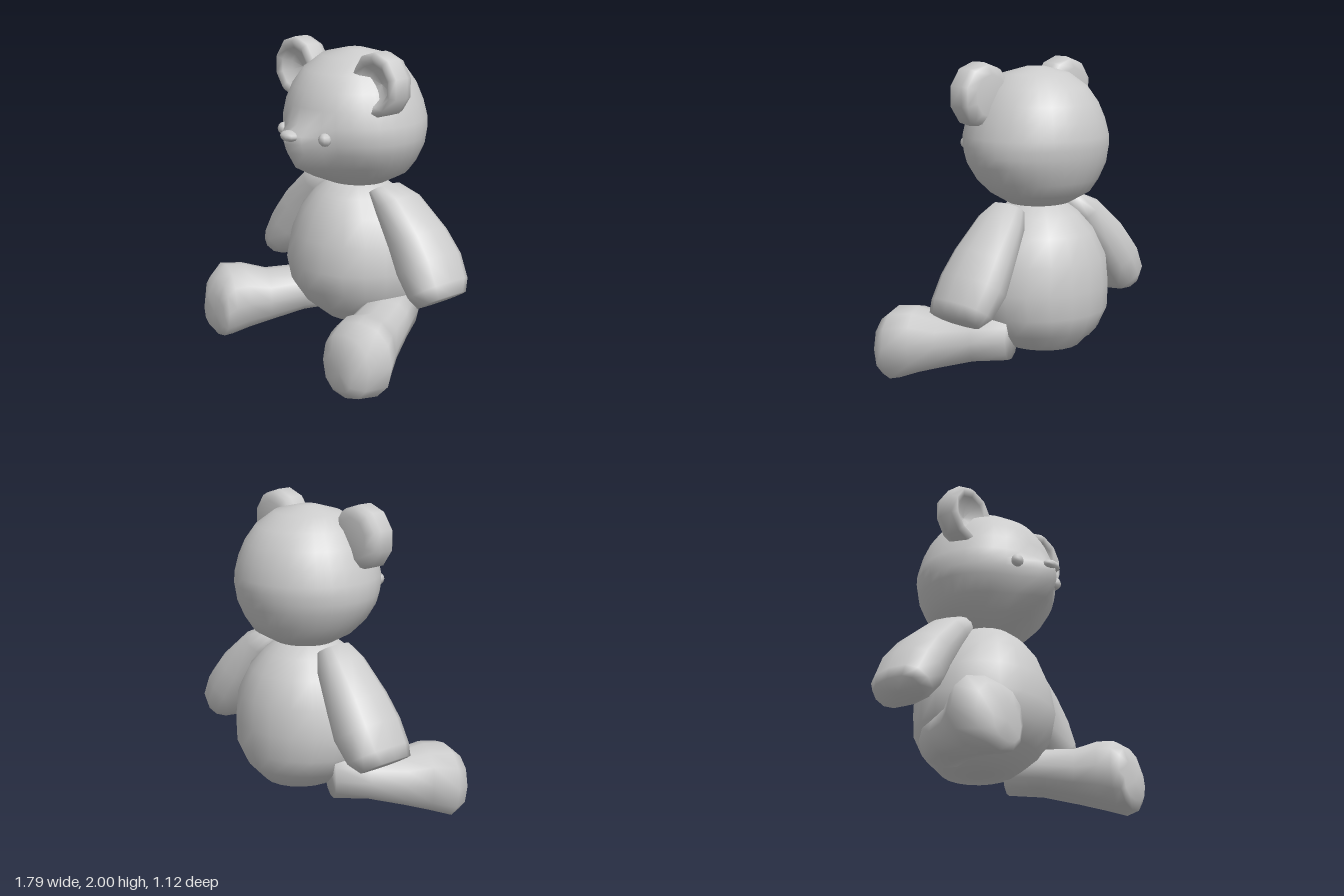
import * as THREE from 'three';

const material = new THREE.MeshStandardMaterial({ color: 0xcccccc });
const V = (x, y, z) => new THREE.Vector3(x, y, z);

// Rounded power curve: below 1 the section becomes boxier
const spow = (t, p) => Math.sign(t) * Math.pow(Math.abs(t), p);

// Closed skin through sections { c: centre, u, v: half axes }
function loft(sections, sides, power = 1, deform = null) {
  const pos = [], index = [], n = sections.length;
  for (const { c, u, v } of sections) {
    for (let i = 0; i < sides; i++) {
      const a = (i / sides) * Math.PI * 2;
      const p = c.clone()
        .addScaledVector(u, spow(Math.cos(a), power))
        .addScaledVector(v, spow(Math.sin(a), power));
      if (deform) deform(p);
      pos.push(p.x, p.y, p.z);
    }
  }
  const first = n * sides, last = first + 1;
  pos.push(...sections[0].c.toArray(), ...sections[n - 1].c.toArray());
  for (let i = 0; i < sides; i++) {
    const j = (i + 1) % sides, top = (n - 1) * sides;
    index.push(first, j, i, last, top + i, top + j);
    for (let r = 0; r < n - 1; r++) {
      const a = r * sides + i, b = r * sides + j;
      index.push(a, b, a + sides, b, b + sides, a + sides);
    }
  }
  // Turn the faces outward whichever way the sections run
  let volume = 0;
  const at = (k) => V(pos[3 * k], pos[3 * k + 1], pos[3 * k + 2]);
  for (let k = 0; k < index.length; k += 3) {
    volume += at(index[k]).dot(at(index[k + 1]).cross(at(index[k + 2])));
  }
  if (volume < 0) index.reverse();
  const g = new THREE.BufferGeometry();
  g.setAttribute('position', new THREE.Float32BufferAttribute(pos, 3));
  g.setIndex(index);
  g.computeVertexNormals();
  return g;
}

// Horizontal section: height, half width, front z, back z
const slice = ([y, rx, front, back]) => ({
  c: V(0, y, (front + back) / 2), u: V(rx, 0, 0), v: V(0, 0, (front - back) / 2),
});

export function createModel() {
  const model = new THREE.Group();
  model.name = 'teddyBear';
  const add = (name, geometry) => {
    const mesh = new THREE.Mesh(geometry, material);
    mesh.name = name;
    model.add(mesh);
    return mesh;
  };

  // Pear-shaped body
  add('body', loft([
    [0.20, 0.07, -0.06, -0.24], [0.22, 0.23, 0.07, -0.41], [0.33, 0.38, 0.20, -0.51],
    [0.45, 0.45, 0.28, -0.56], [0.60, 0.47, 0.31, -0.56], [0.78, 0.44, 0.28, -0.55],
    [0.94, 0.36, 0.22, -0.48], [1.05, 0.26, 0.14, -0.39], [1.13, 0.16, 0.04, -0.28],
  ].map(slice), 20));

  // Head, with the muzzle drawn forward out of the lower face
  const muzzle = (p) => {
    if (p.z < -0.1) return;
    const rise = THREE.MathUtils.smoothstep(p.y, 1.1, 1.27);
    const fall = 1 - THREE.MathUtils.smoothstep(p.y, 1.46, 1.56);
    p.z += 0.125 * rise * fall * Math.exp(-((p.x / 0.13) ** 2));
  };
  add('head', loft([
    [1.09, 0.08, -0.04, -0.20], [1.12, 0.20, 0.05, -0.33], [1.19, 0.33, 0.15, -0.45],
    [1.27, 0.40, 0.24, -0.50], [1.37, 0.455, 0.30, -0.54], [1.43, 0.465, 0.32, -0.55],
    [1.48, 0.47, 0.33, -0.56], [1.54, 0.465, 0.335, -0.56], [1.64, 0.435, 0.32, -0.54],
    [1.74, 0.39, 0.28, -0.50], [1.84, 0.32, 0.21, -0.43], [1.92, 0.22, 0.09, -0.31],
    [1.96, 0.06, -0.05, -0.17],
  ].map(slice), 32, 1, muzzle));

  // Nose on the tip of the muzzle
  const nose = add('nose', new THREE.SphereGeometry(1, 10, 8));
  nose.scale.set(0.07, 0.035, 0.05);
  nose.position.set(0, 1.475, 0.41);

  for (const s of [1, -1]) {
    const side = s > 0 ? 'left' : 'right';

    // Eye bead
    add(side + 'Eye', new THREE.SphereGeometry(0.042, 8, 6)).position.set(s * 0.2, 1.47, 0.295);

    // Ear: thick disc hollowed at the front
    const profile = [[0, -0.1], [0.13, -0.1], [0.185, -0.07], [0.2, -0.03], [0.2, 0.06],
      [0.17, 0.09], [0.13, 0.07], [0.09, 0.02], [0, 0]];
    const ear = new THREE.LatheGeometry(profile.map(([r, z]) => new THREE.Vector2(r, z)), 10);
    ear.rotateX(Math.PI / 2);
    add(side + 'Ear', ear).position.set(s * 0.38, 1.8, 0);

    // Arm: centre x, y, half width, front z, back z
    add(side + 'Arm', loft([
      [0.265, 1.11, 0.07, -0.02, -0.24], [0.36, 1.03, 0.115, 0.0, -0.31],
      [0.53, 0.835, 0.15, 0.025, -0.37], [0.63, 0.69, 0.165, 0.04, -0.395],
      [0.72, 0.56, 0.14, 0.04, -0.38], [0.77, 0.5, 0.105, 0.02, -0.33],
    ].map(([x, y, w, front, back]) => ({
      c: V(s * x, y, (front + back) / 2),
      u: V(s * 0.84 * w, 0.54 * w, 0),
      v: V(0, 0, (front - back) / 2),
    })), 12, 0.8));

    // Leg and foot: centre, half width, half height, turn of the section
    add(side + 'Leg', loft([
      [0.31, 0.32, -0.19, 0.16, 0.15, 0.49], [0.42, 0.295, 0.0, 0.17, 0.145, 0.49],
      [0.53, 0.26, 0.2, 0.185, 0.17, 0.49], [0.61, 0.26, 0.33, 0.205, 0.215, 0.45],
      [0.68, 0.24, 0.43, 0.225, 0.235, 0.3], [0.66, 0.21, 0.52, 0.18, 0.2, 0.15],
      [0.64, 0.18, 0.56, 0.12, 0.12, 0.02],
    ].map(([x, y, z, w, h, turn]) => ({
      c: V(s * x, y, z),
      u: V(s * w * Math.cos(turn), 0, -w * Math.sin(turn)),
      v: V(0, h, 0),
    })), 12, 0.85));
  }
  return model;
}
